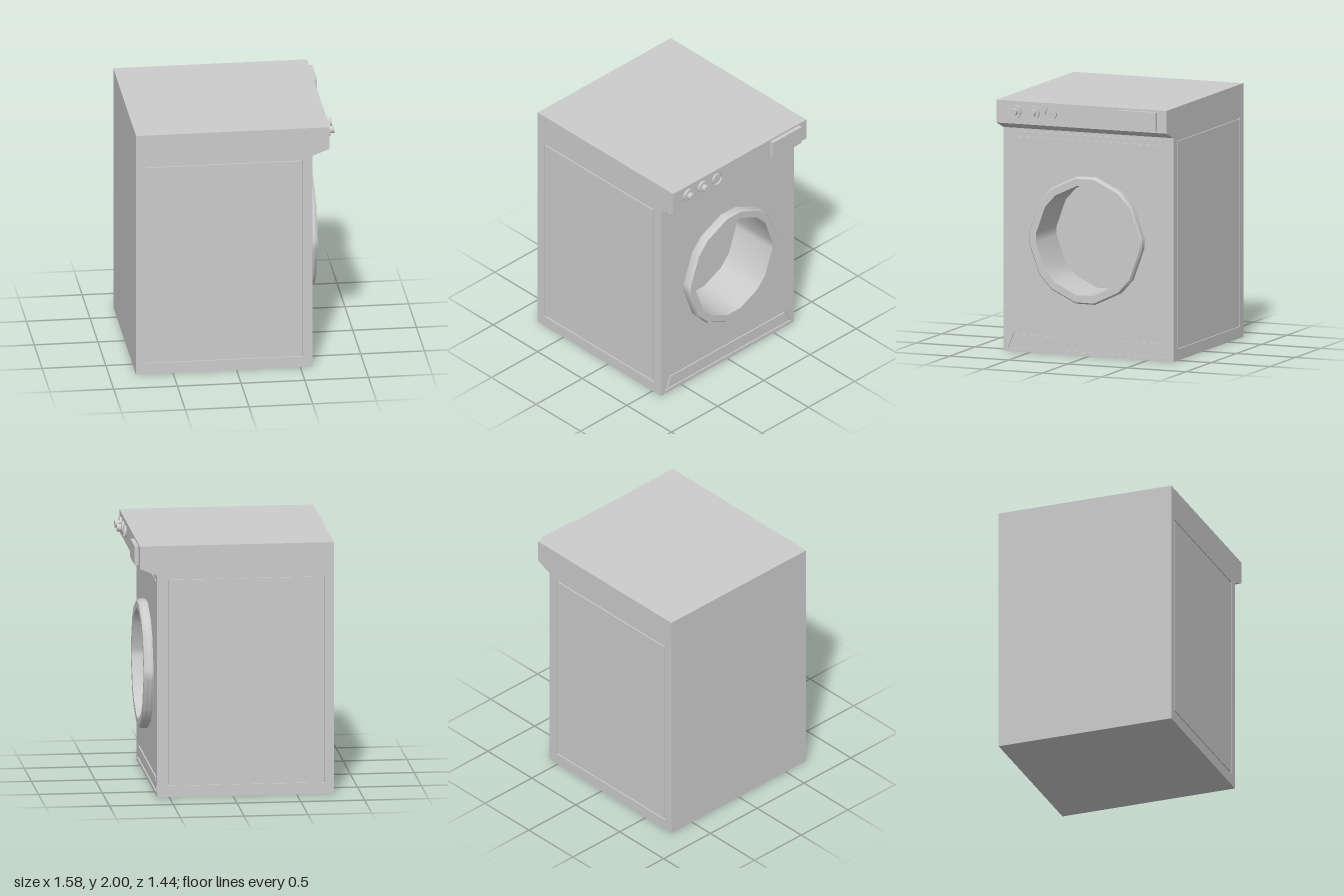
import * as THREE from 'three';
import { mergeGeometries } from 'three/addons/utils/BufferGeometryUtils.js';

const grey = new THREE.MeshStandardMaterial({ color: 0xcccccc });
const greyDouble = new THREE.MeshStandardMaterial({ color: 0xcccccc, side: THREE.DoubleSide });

const BACK = -0.79, FRONT = 0.595, HALF = 0.72, SKIN = 0.01;
const DOOR_Y = 0.92, DRUM_BACK = 0.26;

// Sixteen-cornered door outline, mirrored from one quarter
const quarter = [[0.08, 0.5], [0.29, 0.4], [0.39, 0.29], [0.48, 0.04]];
const reversed = [...quarter].reverse();
const doorLoop = [
  ...quarter,
  ...reversed.map(([a, b]) => [a, -b]),
  ...quarter.map(([a, b]) => [-a, -b]),
  ...reversed.map(([a, b]) => [-a, b]),
];

const toPoints = (list) => list.map(([a, b]) => new THREE.Vector2(a, b));
const polygon = (list) => new THREE.Shape(toPoints(list));
const rect = (x0, y0, x1, y1) => [[x0, y0], [x1, y0], [x1, y1], [x0, y1]];
const doorOutline = (s) => doorLoop.map(([a, b]) => [a * s, b * s + DOOR_Y]);
const trapezoid = (y0, half0, y1, half1) => [[-half0, y0], [half0, y0], [half1, y1], [-half1, y1]];

function plate(outline, holes, depth) {
  const shape = polygon(outline);
  for (const hole of holes) shape.holes.push(new THREE.Path(toPoints(hole)));
  return new THREE.ExtrudeGeometry(shape, { depth, bevelEnabled: false });
}

// Turns a shape drawn in the xy plane to face +x, starting at x
const faceFront = (geometry, x) => geometry.rotateY(Math.PI / 2).translate(x, 0, 0);

// Smooth band around the door between two [x, scale] stations
function doorBand([x0, s0], [x1, s1]) {
  const n = doorLoop.length, positions = [], index = [];
  for (const [x, s] of [[x0, s0], [x1, s1]]) {
    for (const [a, b] of doorLoop) positions.push(x, b * s + DOOR_Y, -a * s);
  }
  for (let i = 0; i < n; i++) {
    const j = (i + 1) % n;
    index.push(i, n + i, j, n + i, n + j, j);
  }
  const geometry = new THREE.BufferGeometry();
  geometry.setAttribute('position', new THREE.Float32BufferAttribute(positions, 3));
  geometry.setIndex(index);
  geometry.computeVertexNormals();
  return geometry;
}

export function createModel() {
  const group = new THREE.Group();
  const add = (name, geometry, material = grey) => {
    const mesh = new THREE.Mesh(geometry, material);
    mesh.name = name;
    group.add(mesh);
    return mesh;
  };
  const inner = HALF - SKIN;

  // Cabinet core with the door opening, closed at the back
  add('cabinet', faceFront(
    plate(rect(-inner, 0, inner, 2), [doorOutline(0.9)], FRONT - BACK - 2 * SKIN), BACK + SKIN));
  add('backPanel', new THREE.BoxGeometry(SKIN, 2, 2 * inner).translate(BACK + SKIN / 2, 1, 0));

  // Overhanging control console with a sloped underside
  const consoleProfile = [[FRONT - SKIN, 1.766], [FRONT, 1.766], [0.73, 1.82], [0.73, 2], [FRONT - SKIN, 2]];
  add('console', plate(consoleProfile, [], 2 * inner).translate(0, 0, -inner));

  // Side skins, each with a panel set inside a thin groove
  const sideProfile = [[BACK, 0], [FRONT, 0], [FRONT, 1.766], [0.73, 1.82], [0.73, 2], [BACK, 2]];
  const g = 0.012;
  for (const [side, z] of [['left', -HALF], ['right', inner]]) {
    add(side + 'SideFrame',
      plate(sideProfile, [rect(-0.72, 0.09, 0.515, 1.74)], SKIN).translate(0, 0, z));
    add(side + 'SidePanel',
      plate(rect(-0.72 + g, 0.09 + g, 0.515 - g, 1.74 - g), [], SKIN).translate(0, 0, z));
  }

  // Front skin with grooved strips above and below the door
  const lower = trapezoid(0.03, 0.68, 0.16, 0.63);
  const upper = trapezoid(1.7, 0.635, 1.752, 0.66);
  add('frontPanel', faceFront(
    plate(rect(-inner, 0, inner, 1.77), [doorOutline(0.9), lower, upper], SKIN), FRONT - SKIN));
  add('kickPlate', faceFront(
    plate(trapezoid(0.05, 0.65, 0.137, 0.614), [], SKIN), FRONT - SKIN));
  add('upperStrip', faceFront(
    plate(trapezoid(1.71, 0.624, 1.742, 0.64), [], SKIN), FRONT - SKIN));

  // Raised door rim running back into the drum
  const rim = [[FRONT - SKIN, 0.985], [0.61, 1], [0.65, 1], [0.668, 0.975], [0.668, 0.86]];
  const bands = rim.slice(1).map((station, i) => doorBand(rim[i], station));
  add('doorRim', mergeGeometries(bands), greyDouble);
  add('drum', doorBand([0.668, 0.86], [DRUM_BACK, 0.86]), greyDouble);
  add('drumBack', faceFront(new THREE.ShapeGeometry(polygon(doorOutline(0.86))), DRUM_BACK), greyDouble);

  // Knobs, indicator ring and drawer on the console
  const disc = (name, radius, x0, x1, z, open = false) => {
    const geometry = new THREE.CylinderGeometry(radius, radius, x1 - x0, 24, 1, open);
    geometry.rotateZ(-Math.PI / 2).translate((x0 + x1) / 2, 1.918, z);
    add(name, geometry, open ? greyDouble : grey);
  };
  [0.56, 0.405].forEach((z, i) => {
    disc(`knobBase${i + 1}`, 0.052, 0.72, 0.75, z);
    disc(`knobCap${i + 1}`, 0.029, 0.74, 0.785, z);
  });
  disc('indicatorRing', 0.047, 0.725, 0.746, 0.255, true);
  add('detergentDrawer', new THREE.BoxGeometry(0.04, 0.15, 0.31).translate(0.742, 1.91, -0.485));

  return group;
}
